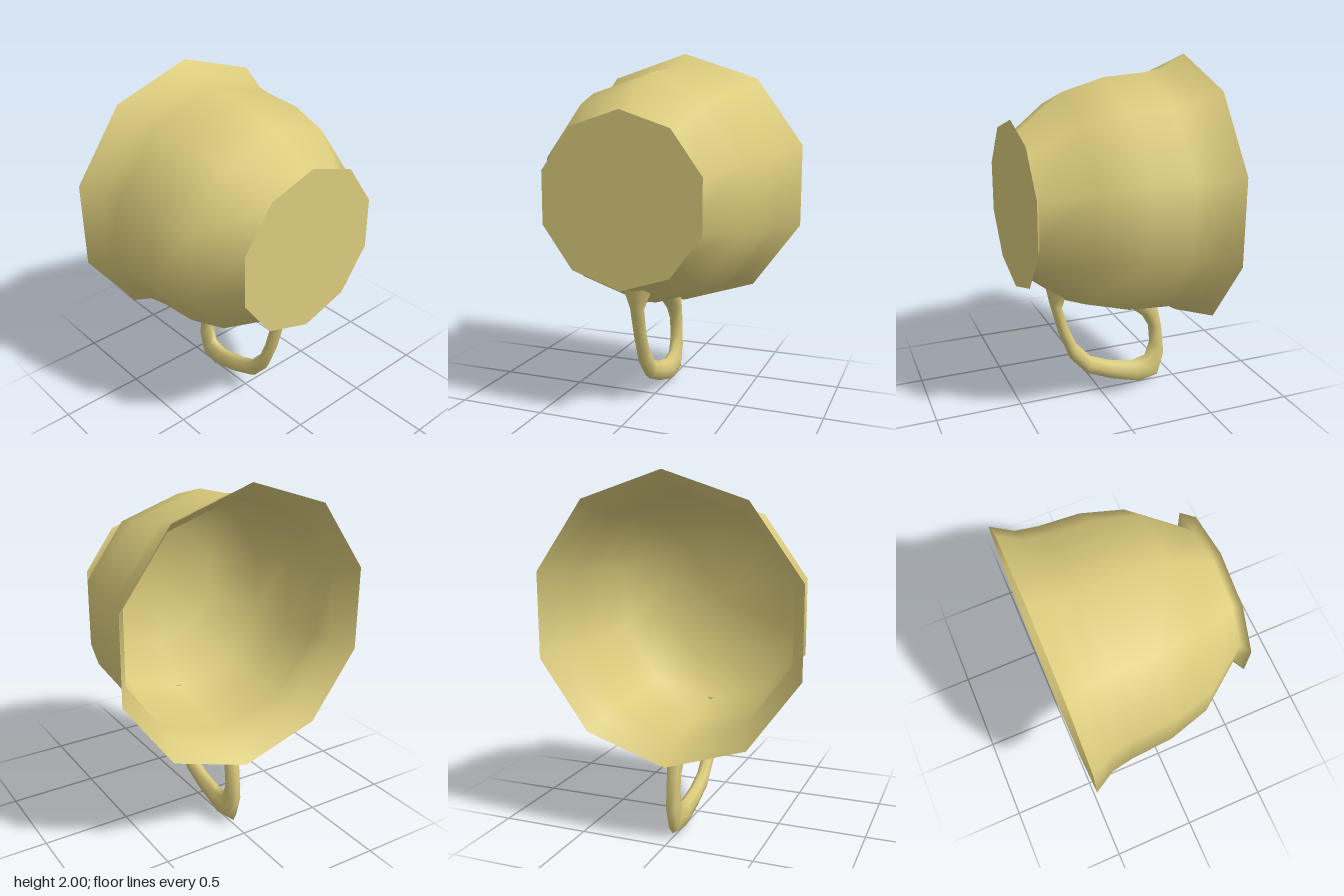
import * as THREE from 'three';

const SIDES = 10;
const CENTRE_Y = 1.23;

// Ten-sided surface turned about the z axis from [radius, z] points
function turned(name, profile, material) {
  const geometry = new THREE.LatheGeometry(profile.map(([r, z]) => new THREE.Vector2(r, z)), SIDES);
  geometry.rotateX(Math.PI / 2);
  const mesh = new THREE.Mesh(geometry, material);
  mesh.name = name;
  mesh.position.y = CENTRE_Y;
  return mesh;
}

// Loop of oval rings, each given by outer [z, y], inner [z, y] and half width
function handleGeometry(rings, sides) {
  const positions = [], index = [];
  rings.forEach(([oz, oy, iz, iy, w], i) => {
    for (let j = 0; j < sides; j++) {
      const a = (j / sides) * Math.PI * 2;
      const c = Math.cos(a) / 2;
      positions.push(w * Math.sin(a), (oy + iy) / 2 + (oy - iy) * c, (oz + iz) / 2 + (oz - iz) * c);
      if (i === rings.length - 1) continue;
      const k = (j + 1) % sides;
      const p = i * sides + j, q = i * sides + k;
      index.push(p, p + sides, q, p + sides, q + sides, q);
    }
  });
  const geometry = new THREE.BufferGeometry();
  geometry.setAttribute('position', new THREE.Float32BufferAttribute(positions, 3));
  geometry.setIndex(index);
  geometry.computeVertexNormals();
  return geometry;
}

export function createModel() {
  const group = new THREE.Group();
  group.name = 'teacup';
  const glaze = new THREE.MeshStandardMaterial({ color: 0xdbcb7c, side: THREE.DoubleSide });
  glaze.name = 'cream glaze';

  // Outer wall from the flared rim to the foot
  group.add(turned('bowl', [
    [0.776, -0.505], [0.705, -0.385], [0.683, -0.26], [0.668, -0.02],
    [0.6, 0.22], [0.402, 0.475], [0.472, 0.505],
  ], glaze));

  // Inner wall and floor, meeting the bowl at the rim
  group.add(turned('lining', [
    [0, 0.45], [0.385, 0.45], [0.585, 0.21], [0.653, -0.02],
    [0.668, -0.26], [0.69, -0.38], [0.776, -0.505],
  ], glaze));

  // Flat underside of the foot
  const foot = new THREE.Mesh(new THREE.CircleGeometry(0.472, SIDES, Math.PI / 2), glaze);
  foot.name = 'foot';
  foot.position.set(0, CENTRE_Y, 0.505);
  group.add(foot);

  // Handle, from the foot end to the rim end
  const handle = new THREE.Mesh(handleGeometry([
    [0.335, 0.74, 0.21, 0.655, 0.08],
    [0.325, 0.69, 0.22, 0.635, 0.065],
    [0.31, 0.62, 0.235, 0.58, 0.042],
    [0.26, 0.43, 0.2, 0.46, 0.04],
    [0.19, 0.25, 0.15, 0.34, 0.04],
    [0.085, 0.13, 0.06, 0.24, 0.04],
    [-0.08, 0.06, -0.06, 0.19, 0.04],
    [-0.27, 0.005, -0.21, 0.16, 0.04],
    [-0.39, 0.03, -0.3, 0.18, 0.04],
    [-0.43, 0.17, -0.33, 0.27, 0.04],
    [-0.41, 0.36, -0.32, 0.38, 0.042],
    [-0.385, 0.47, -0.28, 0.45, 0.05],
    [-0.365, 0.54, -0.13, 0.57, 0.058],
  ], 8), glaze);
  handle.name = 'handle';
  group.add(handle);

  return group;
}
